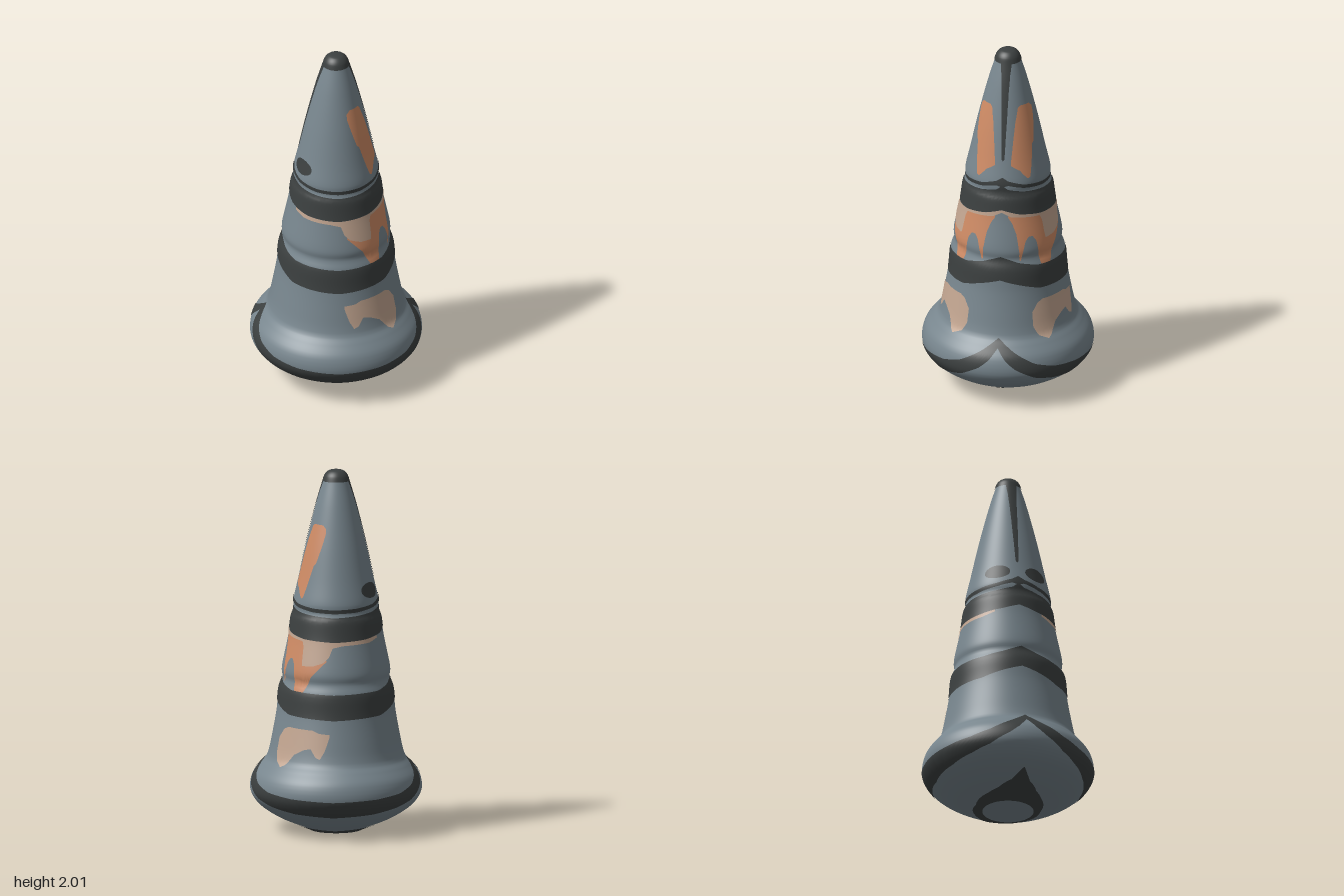
import * as THREE from 'three';

const paint = (name, color) => {
  const m = new THREE.MeshStandardMaterial({ color });
  m.name = name;
  return m;
};

// Silhouette of the turned body as [radius, height], bottom to top
const PROFILE = [
  [0.14, 0], [0.19, 0.022], [0.31, 0.072], [0.41, 0.135], [0.46, 0.195], [0.472, 0.25],
  [0.455, 0.315], [0.413, 0.37], [0.383, 0.405], [0.368, 0.445], [0.352, 0.52], [0.327, 0.66],
  [0.318, 0.76], [0.311, 0.80], [0.297, 0.838], [0.294, 0.86], [0.298, 0.885], [0.293, 0.93],
  [0.262, 1.08], [0.248, 1.18], [0.238, 1.21], [0.232, 1.235], [0.234, 1.265], [0.23, 1.3],
  [0.207, 1.4], [0.163, 1.6], [0.113, 1.8], [0.075, 1.93], [0.062, 1.97], [0.045, 1.99],
  [0.025, 1.998], [0, 2],
];
const SAMPLES = 500;
const curve = new THREE.SplineCurve(PROFILE.map(([r, y]) => new THREE.Vector2(r, y)));
const points = curve.getSpacedPoints(SAMPLES);

// Position along the profile (in samples) at a given height
function along(y) {
  if (y <= points[0].y) return 0;
  for (let i = 1; i <= SAMPLES; i++) {
    if (points[i].y >= y) return i - 1 + (y - points[i - 1].y) / (points[i].y - points[i - 1].y);
  }
  return SAMPLES;
}

// Radius, height and outward normal at a position along the profile
function profileAt(s) {
  const i = Math.min(Math.floor(s), SAMPLES - 1);
  const p = points[i].clone().lerp(points[i + 1], s - i);
  const before = points[Math.max(i - 1, 0)], after = points[Math.min(i + 2, SAMPLES)];
  const n = new THREE.Vector2(after.y - before.y, before.x - after.x).normalize();
  return { p, n };
}

// Straight-line interpolation through [angle, height] pairs
const edge = (pairs) => (a) => {
  if (a <= pairs[0][0]) return pairs[0][1];
  for (let i = 1; i < pairs.length; i++) {
    const [a0, y0] = pairs[i - 1], [a1, y1] = pairs[i];
    if (a <= a1) return y0 + (y1 - y0) * (a - a0) / (a1 - a0);
  }
  return pairs[pairs.length - 1][1];
};
const level = (y) => () => y;
// Repeats a quarter-turn edge around the body, mirrored in x and z
const around = (f) => (a) => f(Math.min(Math.abs(a), 180 - Math.abs(a)));
const mirrored = (f) => (a) => f(Math.abs(a));

// Skin following the body between two edges; angles in degrees from +x
function skin(name, material, from, to, low, high, { lift = 0.003, step = 1.5, rows = 12 } = {}) {
  const cols = Math.ceil((to - from) / step);
  const pos = [], nor = [], index = [];
  for (let i = 0; i <= cols; i++) {
    const deg = from + (to - from) * i / cols;
    const a = deg * Math.PI / 180, c = Math.cos(a), d = Math.sin(a);
    const s0 = along(low(deg)), s1 = Math.max(s0, along(high(deg)));
    for (let j = 0; j <= rows; j++) {
      const { p, n } = profileAt(s0 + (s1 - s0) * j / rows);
      const r = Math.max(0, p.x + n.x * lift);
      pos.push(r * c, p.y + n.y * lift, r * d);
      nor.push(n.x * c, n.y, n.x * d);
      if (i < cols && j < rows) {
        const k = i * (rows + 1) + j, m = k + rows + 1;
        index.push(k, k + 1, m, k + 1, m + 1, m);
      }
    }
  }
  const g = new THREE.BufferGeometry();
  g.setAttribute('position', new THREE.Float32BufferAttribute(pos, 3));
  g.setAttribute('normal', new THREE.Float32BufferAttribute(nor, 3));
  g.setIndex(index);
  const mesh = new THREE.Mesh(g, material);
  mesh.name = name;
  return mesh;
}

export function createModel() {
  const slate = paint('slate', 0x78868e);
  const charcoal = paint('charcoal', 0x3c4040);
  const orange = paint('orange', 0xcd8a64);
  const tan = paint('tan', 0xc2a590);
  const model = new THREE.Group();
  model.name = 'bandedCone';

  // Turned body and its flat foot
  model.add(skin('body', slate, -180, 180, level(0), level(2), { lift: 0, step: 3, rows: 200 }));
  const foot = new THREE.Mesh(new THREE.CircleGeometry(0.14, 64), slate);
  foot.rotation.x = Math.PI / 2;
  foot.name = 'foot';
  model.add(foot);

  // Dark bands, peaked at both sides
  const band = (name, low, high) =>
    model.add(skin(name, charcoal, -180, 180, around(edge(low)), around(edge(high))));
  band('footRing', [[0, 0]], [[0, 0.105], [5, 0.08], [10, 0.062], [27, 0.04], [45, 0.03], [90, 0.018]]);
  band('bulgeBand',
    [[0, 0.365], [6, 0.305], [12.5, 0.26], [26, 0.2], [40, 0.17], [60, 0.145], [90, 0.13]],
    [[0, 0.41], [12.5, 0.345], [26, 0.285], [40, 0.252], [60, 0.235], [90, 0.225]]);
  band('middleBand',
    [[0, 0.735], [19, 0.705], [40, 0.67], [90, 0.655]],
    [[0, 0.868], [19, 0.83], [40, 0.805], [90, 0.795]]);
  const upperBandLow = [[0, 1.135], [20, 1.11], [50, 1.09], [90, 1.08]];
  band('upperBand', upperBandLow,
    [[0, 1.275], [8, 1.25], [30, 1.232], [60, 1.22], [90, 1.212]]);
  band('upperLine',
    [[0, 1.265], [8, 1.275], [30, 1.255], [60, 1.24], [90, 1.235]],
    [[0, 1.32], [8, 1.3], [30, 1.275], [60, 1.262], [90, 1.257]]);

  // Dark tip and the tapering streaks that run down from it
  model.add(skin('tip', charcoal, -180, 180, level(1.94), level(2), { step: 3, rows: 20 }));
  const streakLow = around(edge([[0, 1.41], [2.3, 1.42], [4, 1.55], [7, 1.7], [10, 1.8], [15, 1.88], [23, 1.94]]));
  for (const [name, centre] of [['leftStreak', 0], ['rightStreak', 180]]) {
    const low = (a) => streakLow(a > 180 ? 360 - a : a);
    model.add(skin(name, charcoal, centre - 23, centre + 23, low, level(1.945), { step: 0.5 }));
  }

  // Spots and drip-shaped patches, one on the front and one on the back
  const pair = (name, material, from, to, low, high, lift = 0.003) => {
    for (const [side, a, b] of [['front', from, to], ['back', -to, -from]]) {
      model.add(skin(`${side}${name}`, material, a, b, mirrored(low), mirrored(high), { lift, step: 0.75 }));
    }
  };
  const dome = (a) => 0.042 * Math.sqrt(Math.max(0, 1 - ((a - 150) / 19) ** 2));
  pair('Spot', charcoal, 131, 169, (a) => 1.35 - dome(a), (a) => 1.35 + dome(a));

  pair('UpperPatch', orange, 12, 70,
    edge([[12, 1.385], [18, 1.37], [25, 1.355], [30, 1.33], [36, 1.305], [40, 1.312], [44, 1.37],
      [52, 1.49], [56, 1.5], [70, 1.66]]),
    edge([[12, 1.4], [17, 1.53], [22, 1.62], [30, 1.7], [36, 1.712], [62, 1.71], [70, 1.69]]));

  pair('MiddlePatch', orange, 8, 82,
    edge([[8, 1.09], [12.5, 1.06], [17, 1.0], [19, 0.93], [19.8, 0.845], [21.5, 0.84], [24, 0.9],
      [27, 0.95], [31, 0.975], [36, 0.975], [40, 0.945], [42, 0.87], [43.5, 0.805], [56, 0.8],
      [60, 0.84], [64, 0.885], [74, 0.94], [82, 0.98]]),
    edge([[8, 1.1], [50, 1.085], [70, 1.0], [82, 0.98]]), 0.002);

  pair('MiddleDrip', tan, 0, 150,
    edge([[0, 1.12], [11, 1.095], [48.5, 1.078], [51, 1.05], [52, 0.945], [66, 0.948], [78, 0.97],
      [84, 1.0], [88, 1.05], [100, 1.062], [135, 1.07], [150, 1.09]]),
    around(edge(upperBandLow)), 0.004);

  pair('LowerPatch', tan, 30, 86,
    edge([[30, 0.46], [34, 0.41], [42, 0.385], [46, 0.4], [53, 0.46], [62, 0.49], [69, 0.5],
      [74, 0.455], [78, 0.445], [82, 0.49], [86, 0.565]]),
    edge([[30, 0.54], [36, 0.59], [42, 0.605], [70, 0.6], [76, 0.585], [86, 0.58]]));

  return model;
}
